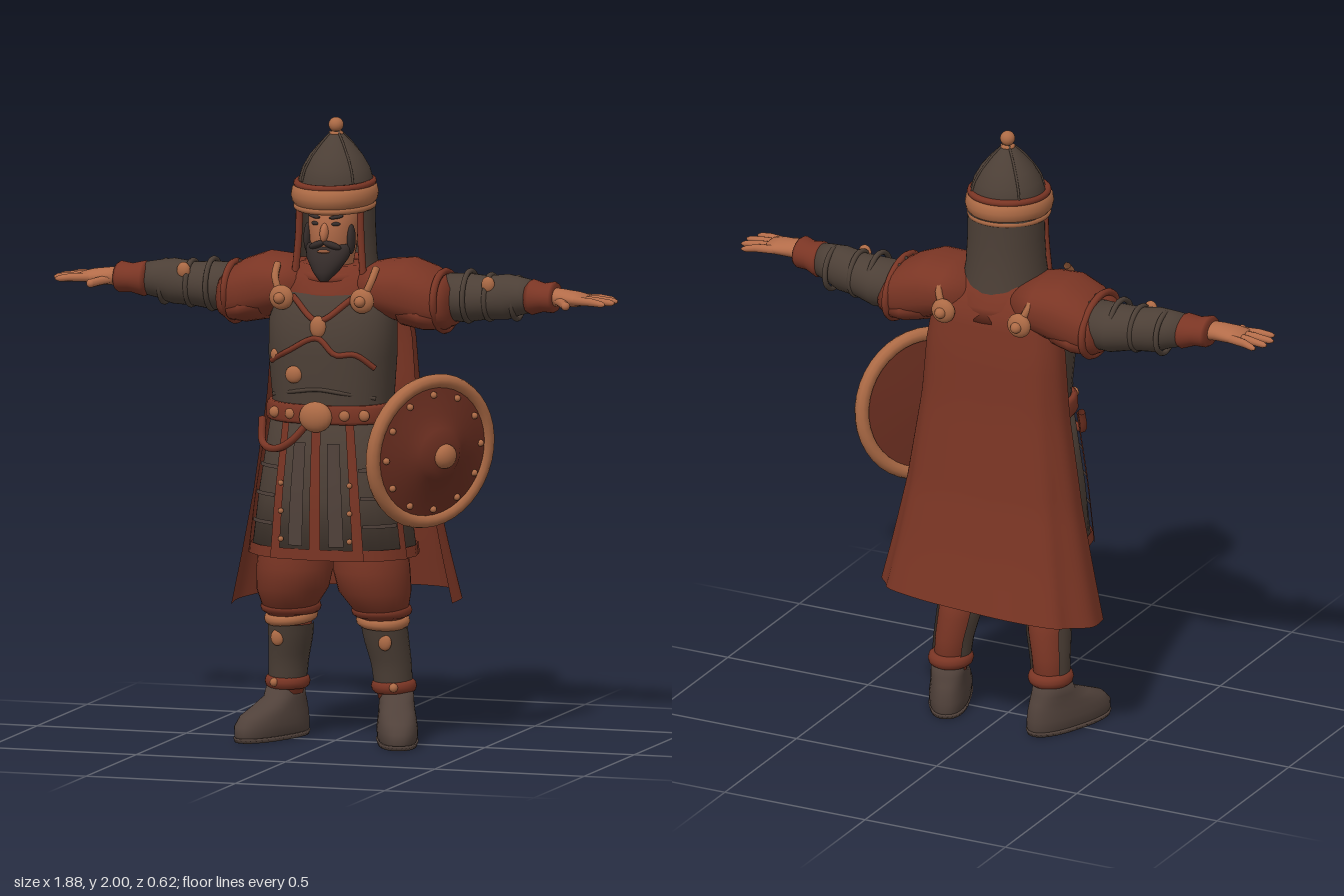
import * as THREE from 'three';

const paint = (name, color) => new THREE.MeshStandardMaterial({ name, color, side: THREE.DoubleSide });
const RED = paint('rust leather', 0x7a3524);
const DARK = paint('dark armour', 0x4c3f36);
const TAN = paint('tan brass', 0xac6a45);
const SKIN = paint('skin', 0xb36c49);
const HAIR = paint('black hair', 0x352c2a);
const BOOT = paint('boot leather', 0x50413a);
const MAROON = paint('shield maroon', 0x6a2e20);

function put(parent, name, geo, mat, pos = [0, 0, 0], rot = [0, 0, 0], scale = [1, 1, 1]) {
  const m = new THREE.Mesh(geo, mat);
  m.name = name;
  m.position.set(...pos);
  m.rotation.set(...rot);
  m.scale.set(...scale);
  parent.add(m);
  return m;
}

const spow = (v, p) => Math.sign(v) * Math.abs(v) ** p;

// Closed body from rings [t, centreU, centreV, radiusU, radiusV] along y, or along x
function loft(rings, { axis = 'y', power = 1, seg = 32 } = {}) {
  const pos = [], idx = [], n = rings.length;
  const add = (t, u, v) => axis === 'y' ? pos.push(u, t, v) : pos.push(t, u, v);
  const s = axis === 'y' ? 1 : -1;
  for (const [t, cu, cv, ru, rv] of rings)
    for (let j = 0; j < seg; j++) {
      const a = j / seg * Math.PI * 2;
      add(t, cu + s * ru * spow(Math.cos(a), power), cv + rv * spow(Math.sin(a), power));
    }
  add(...rings[0]);
  add(...rings[n - 1]);
  for (let j = 0; j < seg; j++) {
    const k = (j + 1) % seg, top = (n - 1) * seg;
    for (let i = 0; i < n - 1; i++) {
      const a = i * seg + j, c = i * seg + k;
      idx.push(a, a + seg, c, a + seg, c + seg, c);
    }
    idx.push(n * seg, j, k, n * seg + 1, top + k, top + j);
  }
  return surface(pos, idx);
}

// Open grid surface from fn(u, v) -> [x, y, z]
function sheet(fn, nu = 16, nv = 8) {
  const pos = [], idx = [], w = nu + 1;
  for (let i = 0; i <= nv; i++) for (let j = 0; j <= nu; j++) pos.push(...fn(j / nu, i / nv));
  for (let i = 0; i < nv; i++) for (let j = 0; j < nu; j++) {
    const a = i * w + j;
    idx.push(a, a + w, a + 1, a + w, a + w + 1, a + 1);
  }
  return surface(pos, idx);
}

function surface(pos, idx) {
  const g = new THREE.BufferGeometry();
  g.setAttribute('position', new THREE.Float32BufferAttribute(pos, 3));
  g.setIndex(idx);
  g.computeVertexNormals();
  return g;
}

// Patch wrapped on a run of rings between two angles (90 degrees is the front)
function wrap(rings, a0, a1, y0, y1, grow, power = 1) {
  return sheet((u, v) => {
    const y = y0 + (y1 - y0) * v, a = (a0 + (a1 - a0) * u) * Math.PI / 180;
    const [, cx, cz, rx, rz] = ringAt(rings, y);
    return [cx + (rx + grow) * spow(Math.cos(a), power), y, cz + (rz + grow) * spow(Math.sin(a), power)];
  });
}

function ringAt(rings, y) {
  let i = 0;
  while (i < rings.length - 2 && y > rings[i + 1][0]) i++;
  const p = rings[i], q = rings[i + 1], t = (y - p[0]) / (q[0] - p[0]);
  return p.map((v, k) => v + (q[k] - v) * t);
}

const ball = (r) => new THREE.SphereGeometry(r, 20, 14);
const ringGeo = (r, tube) => new THREE.TorusGeometry(r, tube, 10, 40).rotateX(Math.PI / 2);
const tube = (pts, r) => new THREE.TubeGeometry(new THREE.CatmullRomCurve3(pts.map(p => new THREE.Vector3(...p))), 28, r, 8);

// Mirrored copy of a group across x = 0
function mirrored(group) {
  const out = new THREE.Group();
  group.updateMatrixWorld(true);
  group.traverse(o => {
    if (!o.isMesh) return;
    const g = o.geometry.clone().applyMatrix4(o.matrixWorld).scale(-1, 1, 1), ix = g.index;
    for (let i = 0; i < ix.count; i += 3) {
      const t = ix.getX(i);
      ix.setX(i, ix.getX(i + 1));
      ix.setX(i + 1, t);
    }
    put(out, o.name, g, o.material);
  });
  return out;
}

function makeHead() {
  const g = new THREE.Group();
  put(g, 'face', loft([[1.46, 0, -0.01, 0.06, 0.06], [1.54, 0, 0.01, 0.06, 0.07], [1.58, 0, 0.02, 0.07, 0.09],
    [1.66, 0, 0.015, 0.08, 0.098], [1.76, 0, 0, 0.085, 0.1]]), SKIN);
  put(g, 'beard', loft([[1.49, 0, 0.115, 0.015, 0.015], [1.52, 0, 0.1, 0.042, 0.042], [1.56, 0, 0.08, 0.068, 0.055],
    [1.595, 0, 0.06, 0.078, 0.056], [1.605, 0, 0.05, 0.076, 0.05]]), HAIR);
  put(g, 'nose', ball(0.017), SKIN, [0, 1.645, 0.115], [-0.25, 0, 0], [0.8, 1.8, 1]);
  put(g, 'mouth', ball(0.018), SKIN, [0, 1.585, 0.122], [0, 0, 0], [1.2, 0.3, 0.8]);
  for (const s of [-1, 1]) {
    put(g, 'moustache', ball(0.02), HAIR, [s * 0.025, 1.605, 0.112], [0, s * 0.4, -s * 0.35], [1.6, 0.55, 0.8]);
    put(g, 'eyebrow', ball(0.02), HAIR, [s * 0.037, 1.695, 0.103], [0, s * 0.4, s * 0.15], [1.2, 0.3, 0.5]);
    put(g, 'eye', ball(0.013), HAIR, [s * 0.035, 1.672, 0.101], [0, s * 0.4, 0], [1.1, 0.5, 0.5]);
    put(g, 'sideburn', ball(0.02), HAIR, [s * 0.073, 1.62, 0.06], [0, 0, 0], [0.6, 2.4, 1.2]);
  }
  // Helmet with neck guard
  const lathe = (pts, ...a) => new THREE.LatheGeometry(pts.map(p => new THREE.Vector2(...p)), 40, ...a);
  put(g, 'helmetDome', lathe([[0.122, 1.74], [0.12, 1.8], [0.108, 1.84], [0.085, 1.88], [0.055, 1.915], [0.026, 1.945], [0.001, 1.965]]), DARK, [0, 0, -0.005]);
  put(g, 'helmetTip', ball(0.024), TAN, [0, 1.976, -0.005]);
  put(g, 'helmetTipCollar', ringGeo(0.016, 0.008), TAN, [0, 1.948, -0.005]);
  put(g, 'helmetBand', ringGeo(0.118, 0.02), TAN, [0, 1.76, 0.008], [0.05, 0, 0], [1, 1.7, 1.13]);
  for (const y of [1.795, 1.722]) put(g, 'bandEdge', ringGeo(0.12, 0.011), y > 1.75 ? RED : TAN, [0, y, 0.006], [0.05, 0, 0], [1, 1, 1.12]);
  for (let i = 0; i < 4; i++) {
    const a = Math.PI * (0.25 + i / 2);
    put(g, 'helmetRidge', tube([[0.122, 1.8, 0], [0.109, 1.842, 0], [0.056, 1.916, 0], [0.015, 1.955, 0]], 0.004), DARK, [0, 0, -0.005], [0, a, 0]);
  }
  put(g, 'neckGuard', lathe([[0.14, 1.48], [0.128, 1.56], [0.123, 1.65], [0.122, 1.74]], Math.PI * 0.31, Math.PI * 1.38), DARK, [0, 0, -0.015]);
  for (const s of [-1, 1]) put(g, 'guardEdge', tube([[s * 0.102, 1.73, 0.056], [s * 0.104, 1.63, 0.058], [s * 0.114, 1.5, 0.064]], 0.012), RED);
  return g;
}

const SKIRT = [[0.61, 0, 0.01, 0.265, 0.19], [0.8, 0, 0.015, 0.24, 0.185], [1.04, 0, 0.02, 0.2, 0.165]];

function makeBody() {
  const g = new THREE.Group();
  put(g, 'cuirass', loft([[1, 0, 0.02, 0.2, 0.16], [1.1, 0, 0.02, 0.193, 0.158], [1.25, 0, 0.025, 0.205, 0.165],
    [1.36, 0, 0.022, 0.205, 0.155], [1.44, 0, 0, 0.18, 0.14], [1.5, 0, -0.01, 0.11, 0.1]], { power: 0.85 }), DARK);
  put(g, 'yoke', loft([[1.405, 0, -0.02, 0.15, 0.165], [1.45, 0, -0.02, 0.2, 0.155], [1.5, 0, -0.02, 0.17, 0.13], [1.535, 0, -0.015, 0.115, 0.105]]), RED);
  put(g, 'collar', ringGeo(0.108, 0.018), RED, [0, 1.515, -0.005], [0.2, 0, 0]);
  // Chest trim and medals
  put(g, 'chestTrim', tube([[-0.17, 1.23, 0.13], [-0.1, 1.27, 0.177], [0, 1.315, 0.185], [0.06, 1.265, 0.186], [0.12, 1.265, 0.167], [0.175, 1.22, 0.13]], 0.009), RED);
  put(g, 'ribTrim', tube([[-0.17, 1.12, 0.11], [-0.08, 1.14, 0.17], [0, 1.15, 0.18], [0.08, 1.14, 0.17], [0.17, 1.12, 0.11]], 0.007), DARK);
  put(g, 'pendantStrap', tube([[-0.1, 1.44, 0.13], [0, 1.37, 0.175], [0.1, 1.44, 0.13]], 0.01), RED);
  put(g, 'pendant', ball(0.03), TAN, [0, 1.35, 0.175], [0, 0, 0], [0.9, 1.2, 0.6]);
  put(g, 'chestMedal', ball(0.028), TAN, [-0.08, 1.195, 0.18], [0, 0, 0], [1, 1, 0.6]);
  put(g, 'sideMedal', ball(0.02), TAN, [-0.155, 1.25, 0.14], [0, -0.6, 0], [1, 1, 0.6]);
  // Belt
  put(g, 'belt', loft([[1.04, 0, 0.02, 0.207, 0.172], [1.05, 0, 0.02, 0.213, 0.18], [1.09, 0, 0.02, 0.211, 0.178], [1.1, 0, 0.02, 0.203, 0.168]], { power: 0.85 }), RED);
  put(g, 'buckle', ball(0.052), TAN, [0, 1.065, 0.2], [0, 0, 0], [1.05, 0.95, 0.6]);
  for (const x of [-0.15, -0.09, 0.09, 0.15]) put(g, 'beltStud', ball(0.018), TAN, [x, 1.07, 0.215 - Math.abs(x) * 0.35], [0, 0, 0], [1, 1, 0.7]);
  put(g, 'beltRope', tube([[-0.03, 1.04, 0.2], [-0.08, 0.985, 0.205], [-0.14, 0.955, 0.18], [-0.2, 0.965, 0.13], [-0.215, 1.04, 0.09]], 0.012), RED);
  // Skirt with bordered panels
  put(g, 'skirt', loft(SKIRT, { power: 0.85 }), DARK);
  const panel = (name, a0, a1, y0, y1, grow, mat) => put(g, name, wrap(SKIRT, a0, a1, y0, y1, grow, 0.85), mat);
  panel('skirtHem', 0, 360, 0.605, 0.64, 0.008, RED);
  for (const [a, w] of [[90, 2.5], [63, 4], [117, 4], [20, 4], [160, 4], [230, 5], [310, 5]]) panel('skirtBorder', a - w, a + w, 0.605, 1.04, 0.01, RED);
  for (const y of [0.71, 0.8, 0.89]) for (const a of [41, 139]) panel('lameEdge', a - 17, a + 17, y, y + 0.012, 0.008, BOOT);
  for (const a of [78, 102]) panel('centrePanel', a - 5, a + 5, 0.65, 0.98, 0.006, BOOT);
  for (const s of [-1, 1]) for (const y of [0.67, 0.76, 0.85]) put(g, 'skirtStud', ball(0.009), TAN, [s * 0.115, y, 0.205]);
  // Clasps front and back
  for (const s of [-1, 1]) for (const [z, y] of [[0.14, 1.435], [-0.19, 1.425]]) {
    put(g, 'claspDisc', ball(0.04), TAN, [s * 0.135, y, z], [0, 0, 0], [1, 1, 0.6]);
    put(g, 'claspKnob', ball(0.018), TAN, [s * 0.135, y, z + Math.sign(z) * 0.022]);
    put(g, 'claspTie', tube([[s * 0.135, y, z], [s * 0.16, y + 0.06, z * 0.9], [s * 0.165, y + 0.1, z * 0.62]], 0.012), TAN);
  }
  return g;
}

function makeArm() {
  const g = new THREE.Group(), ax = { axis: 'x' };
  put(g, 'pauldron', loft([[0.08, 1.455, -0.03, 0.075, 0.12], [0.16, 1.46, -0.035, 0.088, 0.148], [0.24, 1.45, -0.04, 0.105, 0.148],
    [0.31, 1.43, -0.045, 0.1, 0.138], [0.36, 1.415, -0.05, 0.085, 0.122], [0.385, 1.41, -0.055, 0.066, 0.105]], { axis: 'x', power: 0.85 }), RED);
  put(g, 'pauldronRim', new THREE.TorusGeometry(0.1, 0.012, 8, 36), RED, [0.35, 1.42, -0.05], [0, Math.PI / 2, -0.2], [1.24, 0.94, 1]);
  put(g, 'pauldronFlap', loft([[0.23, 1.4, -0.04, 0.06, 0.13], [0.3, 1.385, -0.045, 0.058, 0.136], [0.345, 1.375, -0.05, 0.045, 0.12]], ax), RED);
  for (let i = 0; i < 5; i++) put(g, 'pauldronStud', ball(0.007), DARK, [0.34, 1.515 - (i - 2) ** 2 * 0.009, -0.05 + (i - 2) * 0.045]);
  put(g, 'sleeve', loft([[0.3, 1.43, -0.07, 0.075, 0.09], [0.42, 1.43, -0.075, 0.078, 0.088], [0.49, 1.435, -0.062, 0.07, 0.076],
    [0.56, 1.442, -0.055, 0.073, 0.07], [0.61, 1.448, -0.045, 0.06, 0.062], [0.66, 1.45, -0.035, 0.05, 0.055]], ax), DARK);
  for (const [x, r] of [[0.43, 0.08], [0.5, 0.071], [0.59, 0.066]]) put(g, 'sleeveFold', new THREE.TorusGeometry(r, 0.009, 8, 30), DARK, [x, 1.438, -0.06], [0, Math.PI / 2, 0.15]);
  put(g, 'elbowStud', ball(0.022), TAN, [0.51, 1.485, -0.002], [0, 0, 0], [1, 1.2, 0.7]);
  put(g, 'cuff', loft([[0.635, 1.448, -0.035, 0.05, 0.058], [0.65, 1.448, -0.035, 0.057, 0.064], [0.69, 1.45, -0.025, 0.046, 0.056],
    [0.725, 1.453, -0.018, 0.05, 0.062], [0.735, 1.453, -0.018, 0.044, 0.055]], ax), RED);
  put(g, 'palm', loft([[0.7, 1.455, -0.015, 0.03, 0.036], [0.76, 1.455, -0.006, 0.028, 0.044], [0.81, 1.453, -0.003, 0.024, 0.052], [0.845, 1.452, -0.003, 0.016, 0.05]], ax), SKIN);
  const tips = [[0.915, -0.07], [0.935, -0.03], [0.938, 0.013], [0.92, 0.056]];
  tips.forEach(([x, z], i) => put(g, 'finger', loft([[0.81, 1.452, -0.04 + i * 0.025, 0.014, 0.014],
    [0.87, 1.452, (z - 0.04 + i * 0.025) / 2, 0.013, 0.0135], [x - 0.012, 1.448, z * 0.95, 0.01, 0.011], [x, 1.447, z, 0.004, 0.005]], { axis: 'x', seg: 12 }), SKIN));
  put(g, 'thumb', tube([[0.735, 1.45, 0.005], [0.77, 1.445, 0.04], [0.795, 1.44, 0.075]], 0.014), SKIN);
  put(g, 'thumbTip', ball(0.014), SKIN, [0.795, 1.44, 0.075]);
  return g;
}

function makeLeg() {
  const g = new THREE.Group();
  put(g, 'trousers', loft([[0.4, 0.155, -0.005, 0.07, 0.08], [0.44, 0.15, 0.005, 0.092, 0.1], [0.49, 0.138, 0.018, 0.115, 0.125],
    [0.56, 0.128, 0.022, 0.122, 0.132], [0.72, 0.12, 0.02, 0.11, 0.13]]), RED);
  const SHIN = [[0.14, 0.18, -0.052, 0.052, 0.056], [0.25, 0.172, -0.045, 0.057, 0.065], [0.33, 0.16, -0.03, 0.064, 0.074], [0.42, 0.152, -0.01, 0.068, 0.077]];
  put(g, 'shin', loft(SHIN), RED);
  put(g, 'greave', wrap(SHIN, -35, 215, 0.17, 0.37, 0.007), DARK);
  put(g, 'kneeStrap', ringGeo(0.07, 0.015), TAN, [0.154, 0.392, -0.015], [0.08, 0, -0.08], [1, 1.2, 1.12]);
  put(g, 'kneeFold', ringGeo(0.076, 0.02), RED, [0.152, 0.425, -0.008], [0, 0, 0], [1, 1, 1.1]);
  put(g, 'shinStud', ball(0.022), TAN, [0.18, 0.328, 0.045], [0, 0, 0], [1, 1.2, 0.6]);
  put(g, 'ankleBand', ringGeo(0.055, 0.017), RED, [0.178, 0.178, -0.052], [0, 0, 0], [1, 1.3, 1.08]);
  put(g, 'ankleStud', ball(0.014), TAN, [0.2, 0.18, 0.018]);
  const boot = put(g, 'boot', loft([[0.006, 0, 0, 0.056, 0.158], [0.02, 0, 0, 0.064, 0.165], [0.05, 0, 0, 0.066, 0.164], [0.08, 0, -0.012, 0.062, 0.148],
    [0.105, 0, -0.04, 0.058, 0.112], [0.13, 0, -0.065, 0.056, 0.074], [0.17, 0, -0.07, 0.054, 0.06]], { power: 0.85 }), BOOT, [0.21, 0, 0.01], [0, 0.36, 0]);
  put(g, 'sole', loft([[0, 0, 0, 0.062, 0.163], [0.015, 0, 0, 0.067, 0.168]], { power: 0.85 }), BOOT).position.copy(boot.position);
  g.children.at(-1).rotation.copy(boot.rotation);
  return g;
}

function makeCape() {
  // Rows: height, depth centre, front edge z, half width, back z
  const rows = [[0.44, 0, -0.06, 0.37, -0.305], [0.6, 0, -0.06, 0.335, -0.27], [0.8, 0, -0.06, 0.295, -0.235], [1.1, 0, -0.06, 0.25, -0.205],
    [1.3, 0, -0.06, 0.235, -0.193], [1.43, 0, -0.05, 0.215, -0.178], [1.52, 0, -0.03, 0.12, -0.13]];
  return sheet((u, v) => {
    const y = 0.44 + 1.08 * v, a = Math.PI * u, [, , zf, w, zb] = ringAt(rows, y);
    const fold = 1 + 0.03 * (1 - v) * Math.sin(a * 9);
    const x = w * spow(Math.cos(a), 0.65) * fold;
    return [x, y + (1 - v) * (x * 0.05 - 0.01 + 0.03 * Math.sin(a)), zf + (zb - zf) * spow(Math.sin(a), 0.65)];
  }, 48, 24);
}

function makeShield() {
  const g = new THREE.Group();
  const prof = [[0.001, -0.005], [0.235, 0], [0.235, 0.015], [0.2, 0.02], [0.13, 0.042], [0.085, 0.062], [0.06, 0.085], [0.001, 0.088]];
  put(g, 'shieldFace', new THREE.LatheGeometry(prof.map(p => new THREE.Vector2(...p)), 48), MAROON);
  put(g, 'shieldRim', ringGeo(0.228, 0.023), TAN, [0, 0.008, 0]);
  put(g, 'shieldBoss', ball(0.04), TAN, [0, 0.088, 0], [0, 0, 0], [1, 0.7, 1]);
  for (let i = 0; i < 12; i++) {
    const a = i / 12 * Math.PI * 2;
    put(g, 'shieldRivet', ball(0.011), TAN, [Math.cos(a) * 0.188, 0.026, Math.sin(a) * 0.188]);
  }
  g.position.set(0.345, 0.96, 0.1);
  g.quaternion.setFromUnitVectors(new THREE.Vector3(0, 1, 0), new THREE.Vector3(0.83, -0.1, 0.56).normalize());
  return g;
}

export function createModel() {
  const model = new THREE.Group();
  const parts = { head: makeHead(), body: makeBody(), leftArm: makeArm(), leftLeg: makeLeg(), shield: makeShield() };
  parts.rightArm = mirrored(parts.leftArm);
  parts.rightLeg = mirrored(parts.leftLeg);
  for (const [name, part] of Object.entries(parts)) {
    part.name = name;
    model.add(part);
  }
  put(model, 'cape', makeCape(), RED);
  return model;
}
